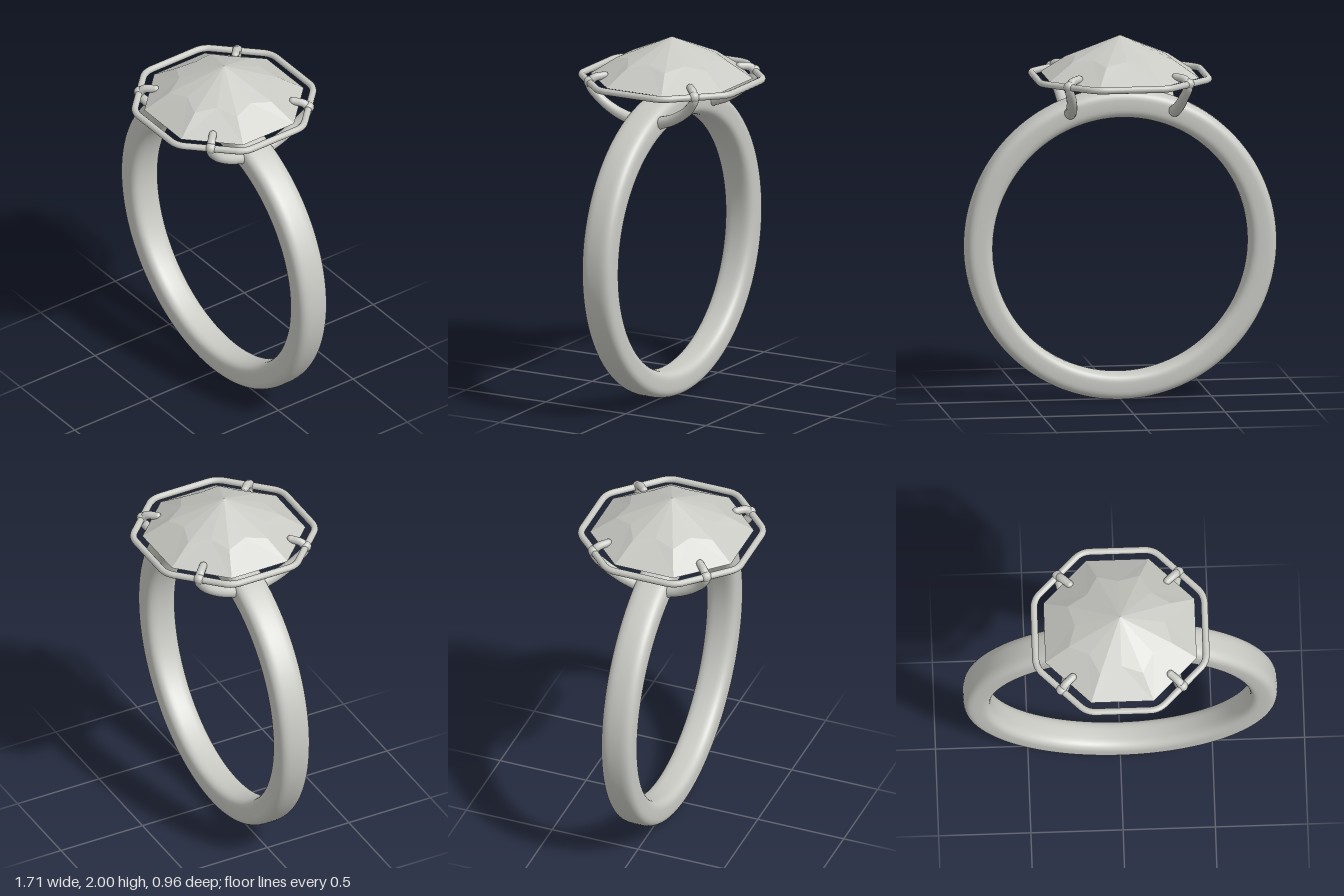
import * as THREE from 'three';

const V = (x, y, z) => new THREE.Vector3(x, y, z);

// Closed ring of rounded-rectangle cross-sections, slightly wider at the top
function bandGeometry() {
  const around = 128, sides = 40, pos = [], idx = [];
  const soft = (v) => Math.sign(v) * Math.pow(Math.abs(v), 0.6);
  for (let i = 0; i < around; i++) {
    const a = (i / around) * Math.PI * 2;
    const up = Math.sin(a);
    const halfWidth = 0.091 + 0.006 * up;
    const inner = 0.702 - 0.004 * up, outer = 0.853;
    for (let j = 0; j < sides; j++) {
      const b = (j / sides) * Math.PI * 2;
      const r = (inner + outer) / 2 + soft(Math.cos(b)) * (outer - inner) / 2;
      pos.push(r * Math.cos(a), 0.853 + r * up, halfWidth * soft(Math.sin(b)));
      const i2 = (i + 1) % around, j2 = (j + 1) % sides;
      const p = i * sides + j, q = i2 * sides + j, s = i2 * sides + j2, t = i * sides + j2;
      idx.push(p, q, s, p, s, t);
    }
  }
  const g = new THREE.BufferGeometry();
  g.setAttribute('position', new THREE.Float32BufferAttribute(pos, 3));
  g.setIndex(idx);
  g.computeVertexNormals();
  return g;
}

// Eight corners of a square with cut corners, in order around y
function octagon(half, edge, y) {
  const pts = [];
  for (let k = 0; k < 4; k++) {
    for (const x of [-edge, edge]) {
      pts.push(V(x, y, half).applyAxisAngle(V(0, 1, 0), k * Math.PI / 2));
    }
  }
  return pts;
}

// Faceted crown with a flat base
function gemGeometry() {
  const girdle = octagon(0.41, 0.17, 1.78);
  const kite = octagon(0.28, 0.116, 1.872);
  const apex = V(0, 2, 0), base = V(0, 1.78, 0), pos = [];
  const tri = (...p) => p.forEach((v) => pos.push(v.x, v.y, v.z));
  for (let i = 0; i < 8; i++) {
    const n = (i + 1) % 8;
    const mid = kite[i].clone().add(kite[n]).setY(0).setLength(0.245).setY(1.893);
    tri(girdle[i], girdle[n], mid);
    tri(girdle[i], mid, kite[i]);
    tri(girdle[n], kite[n], mid);
    tri(kite[i], mid, apex);
    tri(mid, kite[n], apex);
    tri(girdle[n], girdle[i], base);
  }
  const g = new THREE.BufferGeometry();
  g.setAttribute('position', new THREE.Float32BufferAttribute(pos, 3));
  g.computeVertexNormals();
  return g;
}

// Octagonal wire with softened corners
function railGeometry() {
  const pts = octagon(0.462, 0.195, 1.776);
  const path = new THREE.CurvePath();
  const near = (a, b) => a.clone().add(b.clone().sub(a).setLength(0.05));
  pts.forEach((p, i) => {
    const prev = pts[(i + 7) % 8], next = pts[(i + 1) % 8];
    path.add(new THREE.QuadraticBezierCurve3(near(p, prev), p, near(p, next)));
    path.add(new THREE.LineCurve3(near(p, next), near(next, p)));
  });
  return new THREE.TubeGeometry(path, 240, 0.019, 12, true);
}

// Tube that narrows along its length
function taperedTube(curve, r0, r1) {
  const segs = 40, sides = 14;
  const g = new THREE.TubeGeometry(curve, segs, 1, sides, false);
  const p = g.attributes.position, v = V(0, 0, 0);
  for (let i = 0; i <= segs; i++) {
    const c = curve.getPointAt(i / segs), r = r0 + (r1 - r0) * i / segs;
    for (let j = 0; j <= sides; j++) {
      const k = i * (sides + 1) + j;
      v.fromBufferAttribute(p, k).sub(c).multiplyScalar(r).add(c);
      p.setXYZ(k, v.x, v.y, v.z);
    }
  }
  return g;
}

export function createModel() {
  const group = new THREE.Group();
  const silver = new THREE.MeshStandardMaterial({ color: 0xc9c9c4 });
  silver.name = 'silver';
  const add = (name, geometry, parent = group) => {
    const m = new THREE.Mesh(geometry, silver);
    m.name = name;
    parent.add(m);
    return m;
  };

  add('band', bandGeometry());
  add('gem', gemGeometry());
  add('rail', railGeometry());

  // Four curved prongs with rounded ends, hooked over the stone's cut corners
  for (const sx of [-1, 1]) {
    for (const sz of [-1, 1]) {
      const prong = new THREE.Group();
      prong.name = (sz > 0 ? 'front' : 'back') + (sx > 0 ? 'Left' : 'Right') + 'Prong';
      group.add(prong);
      const pts = [
        [0.285, 1.588, 0.08], [0.292, 1.625, 0.18], [0.306, 1.69, 0.275],
        [0.325, 1.765, 0.328], [0.312, 1.797, 0.312], [0.265, 1.808, 0.268],
      ].map(([x, y, z]) => V(x * sx, y, z * sz));
      add('prongStem', taperedTube(new THREE.CatmullRomCurve3(pts), 0.034, 0.021), prong);
      add('prongFoot', new THREE.SphereGeometry(0.034, 16, 12), prong).position.copy(pts[0]);
      add('prongTip', new THREE.SphereGeometry(0.021, 16, 12), prong).position.copy(pts[5]);
      add('prongShoulder', new THREE.SphereGeometry(0.03, 16, 12), prong)
        .position.set(0.328 * sx, 1.778, 0.328 * sz);
    }
  }
  return group;
}
